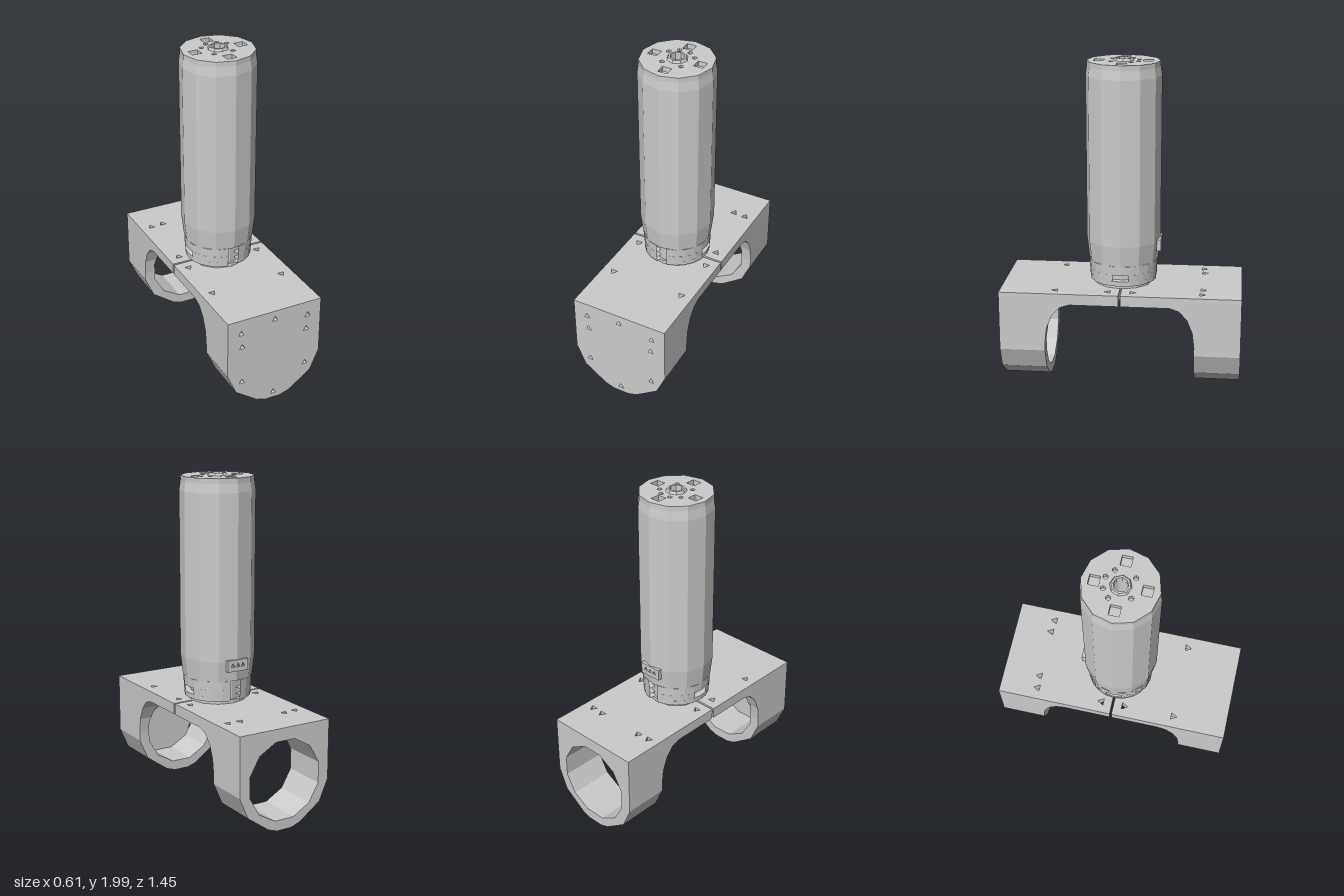
import * as THREE from 'three';

const mat = new THREE.MeshStandardMaterial({ color: 0xcccccc, flatShading: true, side: THREE.DoubleSide });

function add(parent, name, geometry) {
  const mesh = new THREE.Mesh(geometry, mat);
  mesh.name = name;
  parent.add(mesh);
  return mesh;
}

// Points of a regular polygon (or of an arc of one)
function ring(cx, cy, r, sides, start = 0, sweep = Math.PI * 2) {
  const full = sweep === Math.PI * 2;
  return Array.from({ length: full ? sides : sides + 1 }, (_, i) => {
    const a = start + (sweep * i) / sides;
    return new THREE.Vector2(cx + r * Math.cos(a), cy + r * Math.sin(a));
  });
}

function extrude(outline, holes, depth) {
  const shape = new THREE.Shape(outline);
  shape.holes = holes.map((h) => new THREE.Path(h));
  return new THREE.ExtrudeGeometry(shape, { depth, bevelEnabled: false });
}

// Shape drawn in x/z, with its upper face at the given height
function slab(outline, holes, thickness, top) {
  return extrude(outline, holes, thickness).rotateX(Math.PI / 2).translate(0, top, 0);
}

function lathe(points, sides, start = 0, sweep = Math.PI * 2) {
  return new THREE.LatheGeometry(points.map(([x, y]) => new THREE.Vector2(x, y)), sides, start, sweep);
}

const v = (x, y) => new THREE.Vector2(x, y);
const screw = (x, y, r = 0.021) => ring(x, y, r, 3, Math.PI / 2);
const W = 0.307, ARM_IN = 0.45, ARM_OUT = 0.727, BORE = 0.247, AXIS = 0.312;
const DECK_TOP = 0.627, DECK_BOTTOM = 0.56;

// Arm outline: straight sides with a faceted round foot
function armOutline(top) {
  const foot = [[W, 0.26], [0.25, 0.13], [0.11, 0.03], [0.05, 0.01]];
  return [v(W, top), v(-W, top), ...foot.map(([x, y]) => v(-x, y)), ...foot.reverse().map(([x, y]) => v(x, y))];
}

// Curved inner corner below the deck, with the bore cut through it
function filletGeometry() {
  const z0 = 0.3, len = ARM_IN - z0;
  const g = new THREE.BoxGeometry(W * 2, 1, 1, 24, 1, 4);
  const p = g.attributes.position;
  for (let i = 0; i < p.count; i++) {
    const x = p.getX(i);
    const a = (p.getZ(i) + 0.5) * Math.PI / 2;
    const curve = AXIS + (DECK_BOTTOM - AXIS) * Math.cos(a);
    const bore = Math.abs(x) < BORE ? AXIS + Math.sqrt(BORE * BORE - x * x) : 0;
    p.setY(i, p.getY(i) > 0 ? DECK_BOTTOM : Math.min(DECK_BOTTOM, Math.max(curve, bore)));
    p.setZ(i, z0 + len * Math.sin(a));
  }
  g.computeVertexNormals();
  return g;
}

function yokeHalf(name, capDepth, deckScrews) {
  const half = new THREE.Group();
  half.name = name;
  const end = ARM_OUT - capDepth;

  // Deck with a half-round cutout on the split line
  const cutout = ring(0, 0.006, 0.05, 6, Math.PI, -Math.PI);
  const outline = [v(-W, 0.006), ...cutout, v(W, 0.006), v(W, end), v(-W, end)];
  add(half, 'deck', slab(outline, deckScrews.map(([x, z]) => screw(x, z, 0.025)), DECK_TOP - DECK_BOTTOM, DECK_TOP));
  add(half, 'innerFillet', filletGeometry());

  // Bored arm, with an end cap where one is asked for
  const bore = ring(0, AXIS, BORE, 12, Math.PI / 12);
  add(half, 'arm', extrude(armOutline(DECK_BOTTOM), [bore], end - ARM_IN)).position.z = ARM_IN;
  if (capDepth > 0) {
    const spots = [[0, 0.05], [0, 0.57]];
    for (const s of [-1, 1]) spots.push([s * 0.22, 0.535], [s * 0.213, 0.44], [s * 0.213, 0.195]);
    add(half, 'endCap', extrude(armOutline(DECK_TOP), spots.map(([x, y]) => screw(x, y)), capDepth))
      .position.z = end;
  }
  return half;
}

function motor() {
  const g = new THREE.Group();
  g.name = 'motor';
  const bore = 0.042;

  // Long faceted barrel with a slight taper at both ends
  add(g, 'barrel', lathe([[bore, 0.775], [0.212, 0.775], [0.226, 0.9], [0.227, 1.9],
    [0.219, 1.955], [bore, 1.955], [bore, 0.775]], 12));

  // Skirt in quarters: full-height slots front and back, short slots at the sides
  const skirtBands = [[0.65, 0.203, 0.68, 0.2045, 0], [0.68, 0.2045, 0.72, 0.207, 0.24], [0.72, 0.207, 0.775, 0.21, 0]];
  for (const [y0, r0, y1, r1, sideGap] of skirtBands) {
    for (let i = 0; i < 4; i++) {
      const start = (i * Math.PI) / 2 + (i % 2 ? sideGap : 0.16);
      add(g, 'skirt', lathe([[0.165, y0], [r0, y0], [r1, y1], [0.165, y1]], 5, start, Math.PI / 2 - 0.16 - sideGap));
    }
  }
  add(g, 'core', lathe([[bore, 0.627], [0.178, 0.627], [0.178, 0.65], [0.165, 0.65],
    [0.165, 0.775], [bore, 0.775], [bore, 0.627]], 12));

  // Cable outlet low on the back of the barrel
  const sockets = [-0.035, 0, 0.035].map((x) => screw(x, 0.875, 0.016));
  const outlet = [v(-0.07, 0.84), v(0.07, 0.84), v(0.07, 0.91), v(-0.07, 0.91)];
  add(g, 'cableOutlet', extrude(outlet, sockets, 0.025)).position.z = -0.232;

  // Top plate with mounting pockets
  const holes = [ring(0, 0, bore, 8)];
  for (let i = 0; i < 4; i++) {
    const a = (i * Math.PI) / 2;
    holes.push(ring(0.146 * Math.cos(a), 0.146 * Math.sin(a), 0.042, 4, Math.PI / 4));
  }
  for (const s of [-1, 1]) {
    for (const [x, z] of [[0.034, -0.09], [0.082, -0.05], [0.06, 0.07]]) {
      holes.push(ring(s * x, z, 0.015, 6));
    }
  }
  add(g, 'topPlate', slab(ring(0, 0, 0.219, 12), holes, 0.03, 1.985));
  add(g, 'shaftCollar', lathe([[0.062, 1.985], [0.054, 2.0], [bore, 2.0], [bore, 1.985]], 8));
  return g;
}

export function createModel() {
  const model = new THREE.Group();
  model.name = 'motorYoke';
  const inner = [[0.237, 0.072], [-0.237, 0.072]];
  model.add(yokeHalf('frontYoke', 0.03, [...inner, [0.235, 0.39], [-0.235, 0.39]]));
  const back = yokeHalf('backYoke', 0,
    [...inner, [0.235, 0.49], [-0.235, 0.49], [0.155, 0.495], [-0.155, 0.495]]);
  back.rotation.y = Math.PI;
  model.add(back, motor());
  return model;
}
